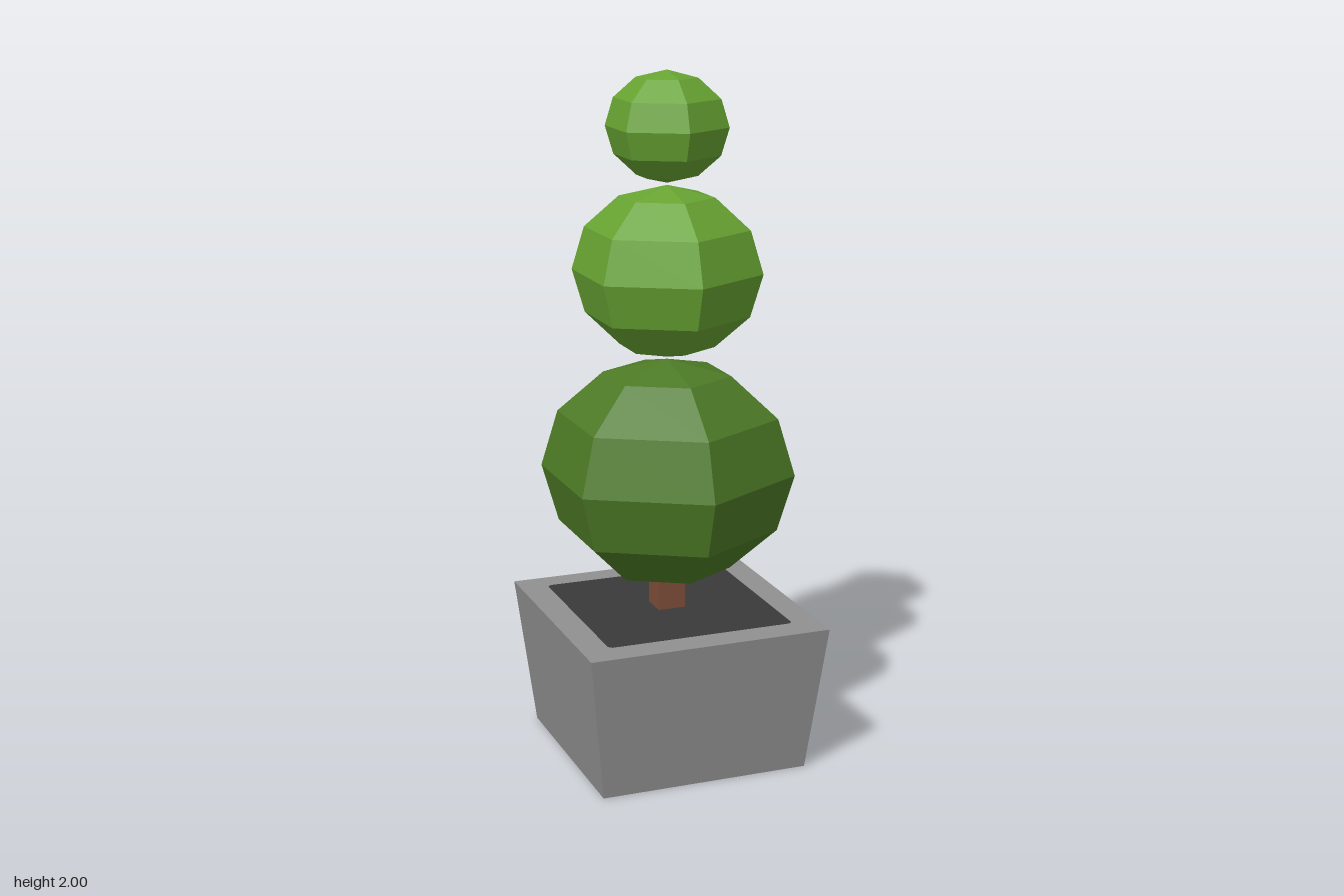
import * as THREE from 'three';

const material = (name, color, options = {}) =>
  Object.assign(new THREE.MeshStandardMaterial({ color, flatShading: true, ...options }), { name });

export function createModel() {
  const darkLeaf = material('dark leaf green', 0x4d7b26);
  const lightLeaf = material('light leaf green', 0x67a432);
  const bark = material('bark brown', 0x7e4d39);
  const stone = material('stone grey', 0x909090, { side: THREE.DoubleSide });
  const earth = material('dark soil', 0x3a3a3a);

  const model = new THREE.Group();
  model.name = 'pottedTopiary';
  const add = (name, geometry, mat, y, parent = model) => {
    const mesh = new THREE.Mesh(geometry, mat);
    mesh.name = name;
    mesh.position.y = y;
    parent.add(mesh);
    return mesh;
  };

  // Tapered square planter: four thin walls, open underneath, closed on top
  const potHeight = 0.434;
  const planter = new THREE.Group();
  planter.name = 'planter';
  model.add(planter);
  const walls = new THREE.CylinderGeometry(0.36 * Math.SQRT2, 0.31 * Math.SQRT2, potHeight, 4, 1, true);
  add('planterWalls', walls.rotateY(Math.PI / 4), stone, potHeight / 2, planter);
  add('planterRim', new THREE.PlaneGeometry(0.72, 0.72).rotateX(-Math.PI / 2), stone, potHeight, planter);

  // Soil: a thin square sheet with slightly clipped corners
  const s = 0.28, c = 0.27;
  const outline = [[s, -c], [s, c], [c, s], [-c, s], [-s, c], [-s, -c], [-c, -s], [c, -s]];
  const soilShape = new THREE.Shape(outline.map(([x, y]) => new THREE.Vector2(x, y)));
  add('soil', new THREE.ShapeGeometry(soilShape).rotateX(-Math.PI / 2), earth, potHeight + 0.003, planter);

  // Square trunk
  add('trunk', new THREE.BoxGeometry(0.083, 0.12, 0.083), bark, potHeight + 0.06);

  // Three stacked six-sided foliage balls: name, radius, half height, centre y, colour
  const balls = [
    ['lowerFoliage', 0.372, 0.332, 0.848, darkLeaf],
    ['middleFoliage', 0.275, 0.247, 1.433, lightLeaf],
    ['upperFoliage', 0.176, 0.157, 1.843, lightLeaf],
  ];
  for (const [name, radius, halfHeight, y, mat] of balls) {
    const ball = new THREE.SphereGeometry(1, 6, 6).rotateY(Math.PI / 6);
    add(name, ball.scale(radius, halfHeight, radius), mat, y);
  }
  return model;
}
